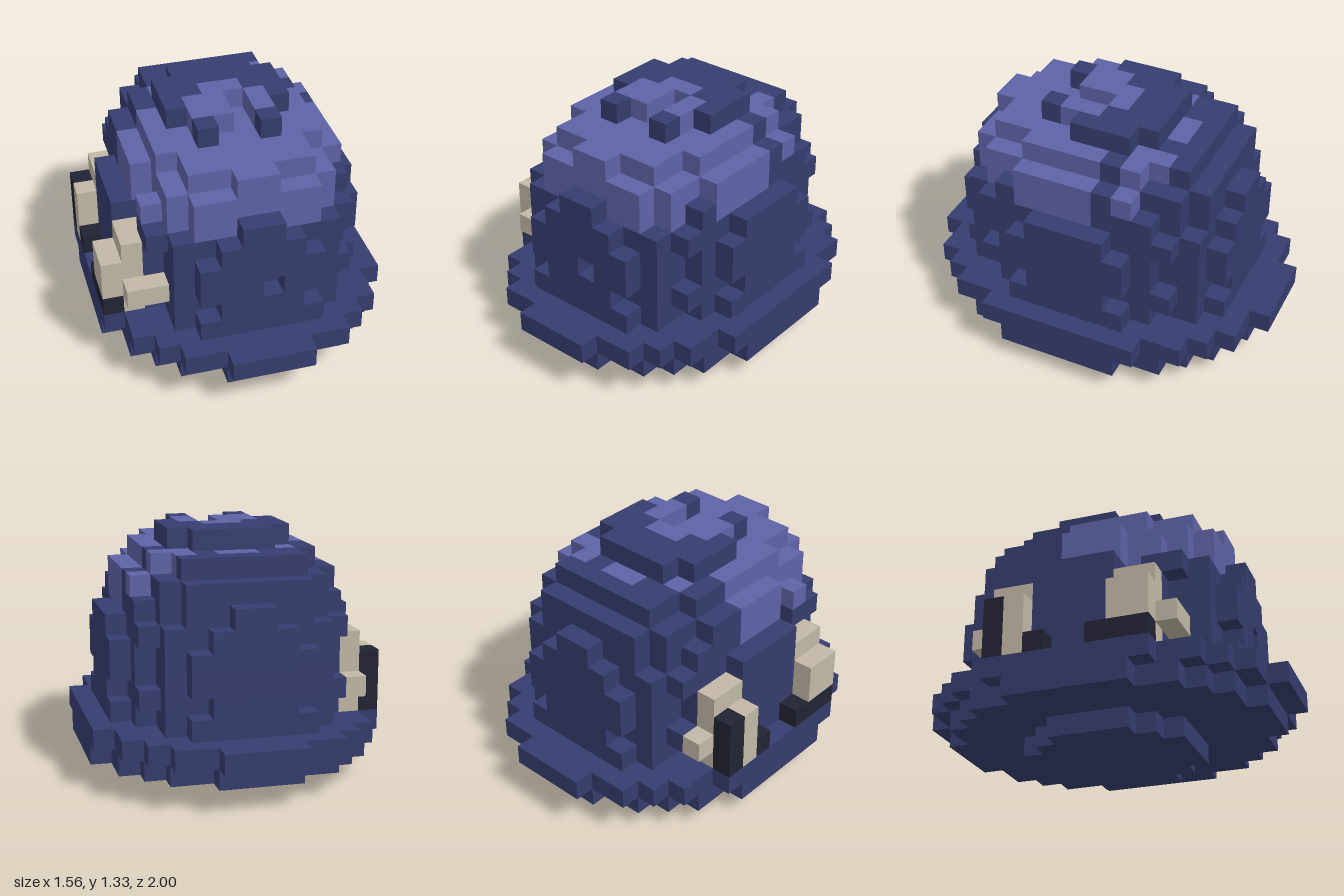
import * as THREE from 'three';

const U = 1 / 9; // cube size
const mat = (name, color) => Object.assign(new THREE.MeshStandardMaterial({ color }), { name });

export function createModel() {
  const navy = mat('navy', 0x363c6e), lilac = mat('lilac', 0x5f62a6);
  const cream = mat('cream', 0xc1b8a6), black = mat('black', 0x222333);
  const parts = {
    base: navy, brim: navy, shell: navy, sidePlates: navy, paintedCrown: lilac,
    cap: navy, capPaint: lilac, sideClasps: cream, claspFittings: black,
  };

  // Cubes are kept in one map so that faces between parts are left out
  const cells = new Map();
  const key = (x, y, z) => `${x},${y},${z}`;
  const box = (part, x0, x1, y0, y1, z0, z1) => {
    for (let x = x0; x < x1; x++)
      for (let y = y0; y < y1; y++)
        for (let z = z0; z < z1; z++)
          if (part) cells.set(key(x, y, z), part);
          else cells.delete(key(x, y, z));
  };
  // Rounded layer: half width in x for each step away from z = 0
  const layer = (part, y, halfWidths) => halfWidths.forEach((w, i) => {
    box(part, -w, w, y, y + 1, i, i + 1);
    box(part, -w, w, y, y + 1, -i - 1, -i);
  });

  // Foot and brim
  layer('base', 0, [4, 4, 3, 2]);
  layer('brim', 1, [7, 7, 7, 6, 6, 5, 4, 2]);
  layer('brim', 2, [7, 7, 7, 7, 6, 6, 5, 4, 2]);

  // Shell walls with notched corners and raised plates on all four sides
  const plate = { 3: 3, 4: 2, 5: 3, 6: 3, 7: 2 };
  for (let y = 3; y < 8; y++) {
    const p = plate[y], corner = y === 4 || y === 7 ? 5 : 4;
    layer('shell', y, [5, 5, 5, 5, corner, 4]);
    for (const s of [-7, 6]) box('sidePlates', -p, p, y, y + 1, s, s + 1);
    for (const s of [-6, 5]) box('sidePlates', s, s + 1, y, y + 1, -p, p);
  }
  box(null, 0, 1, 5, 6, 6, 7);
  for (const s of [-7, 6]) box('sidePlates', -1, 1, 8, 9, s, s + 1);

  // Stepped crown
  layer('shell', 8, [5, 5, 5, 5, 4, 3]);
  layer('shell', 9, [5, 5, 5, 4, 4, 3]);
  layer('shell', 10, [4, 4, 4, 3, 3]);
  box('shell', -1, 1, 10, 11, 5, 6);

  // Lilac paint over the front of the crown and in patches behind
  for (const k of cells.keys()) {
    const [, y, z] = k.split(',').map(Number);
    if (y >= 8 && z >= -1 && z < 6) cells.set(k, 'paintedCrown');
  }
  box('shell', 4, 5, 8, 9, 3, 4);
  box('paintedCrown', 2, 3, 10, 11, -4, -1);
  box('paintedCrown', 3, 4, 9, 11, -3, -2);
  box('paintedCrown', 4, 5, 9, 10, -3, -2);
  box('paintedCrown', -3, -2, 10, 11, -3, -1);
  box('paintedCrown', -1, 1, 10, 11, -4, -3);

  // Cap on top with a slot
  box('cap', -2, 2, 11, 12, -3, 3);
  box('cap', -3, 3, 11, 12, -2, 1);
  box('capPaint', -2, 2, 11, 12, 0, 2);
  box('capPaint', -1, 1, 11, 12, -1, 0);
  box(null, -1, 1, 11, 12, 2, 3);
  box(null, 0, 1, 11, 12, 0, 2);

  // Clasps on the right side only
  box(null, -5, -4, 7, 10, 2, 3);
  box('sideClasps', -5, -4, 6, 7, 2, 3);
  box('sideClasps', -6, -5, 3, 7, 2, 4);
  box('sideClasps', -7, -6, 4, 6, 2, 4);
  box('sideClasps', -6, -4, 4, 5, 4, 5);
  box('sideClasps', -6, -5, 3, 7, -4, -2);
  box('sideClasps', -6, -5, 4, 5, -5, -4);
  box('sideClasps', -7, -6, 3, 6, -3, -2);
  box('claspFittings', -7, -6, 3, 4, 1, 4);
  box('claspFittings', -7, -6, 3, 6, -4, -3);
  box('claspFittings', -7, -6, 3, 4, -2, -1);

  // Outer faces of the cubes, gathered for each part
  const data = {};
  for (const name in parts) data[name] = { pos: [], nor: [] };
  for (const [k, part] of cells) {
    const c = k.split(',').map(Number);
    for (let a = 0; a < 3; a++) for (const s of [-1, 1]) {
      const n = [0, 0, 0];
      n[a] = s;
      if (cells.has(key(c[0] + n[0], c[1] + n[1], c[2] + n[2]))) continue;
      const b = (a + 1) % 3, d = (a + 2) % 3;
      const quad = [[0, 0], [1, 0], [1, 1], [0, 1]].map(([u, v]) => {
        const p = [...c];
        p[a] += s > 0 ? 1 : 0;
        p[b] += u;
        p[d] += v;
        return p.map((t) => t * U);
      });
      if (s < 0) quad.reverse();
      for (const i of [0, 1, 2, 0, 2, 3]) {
        data[part].pos.push(...quad[i]);
        data[part].nor.push(...n);
      }
    }
  }

  const group = new THREE.Group();
  group.name = 'blockHelmet';
  for (const name in parts) {
    const geo = new THREE.BufferGeometry();
    geo.setAttribute('position', new THREE.Float32BufferAttribute(data[name].pos, 3));
    geo.setAttribute('normal', new THREE.Float32BufferAttribute(data[name].nor, 3));
    const mesh = new THREE.Mesh(geo, parts[name]);
    mesh.name = name;
    group.add(mesh);
  }
  return group;
}
